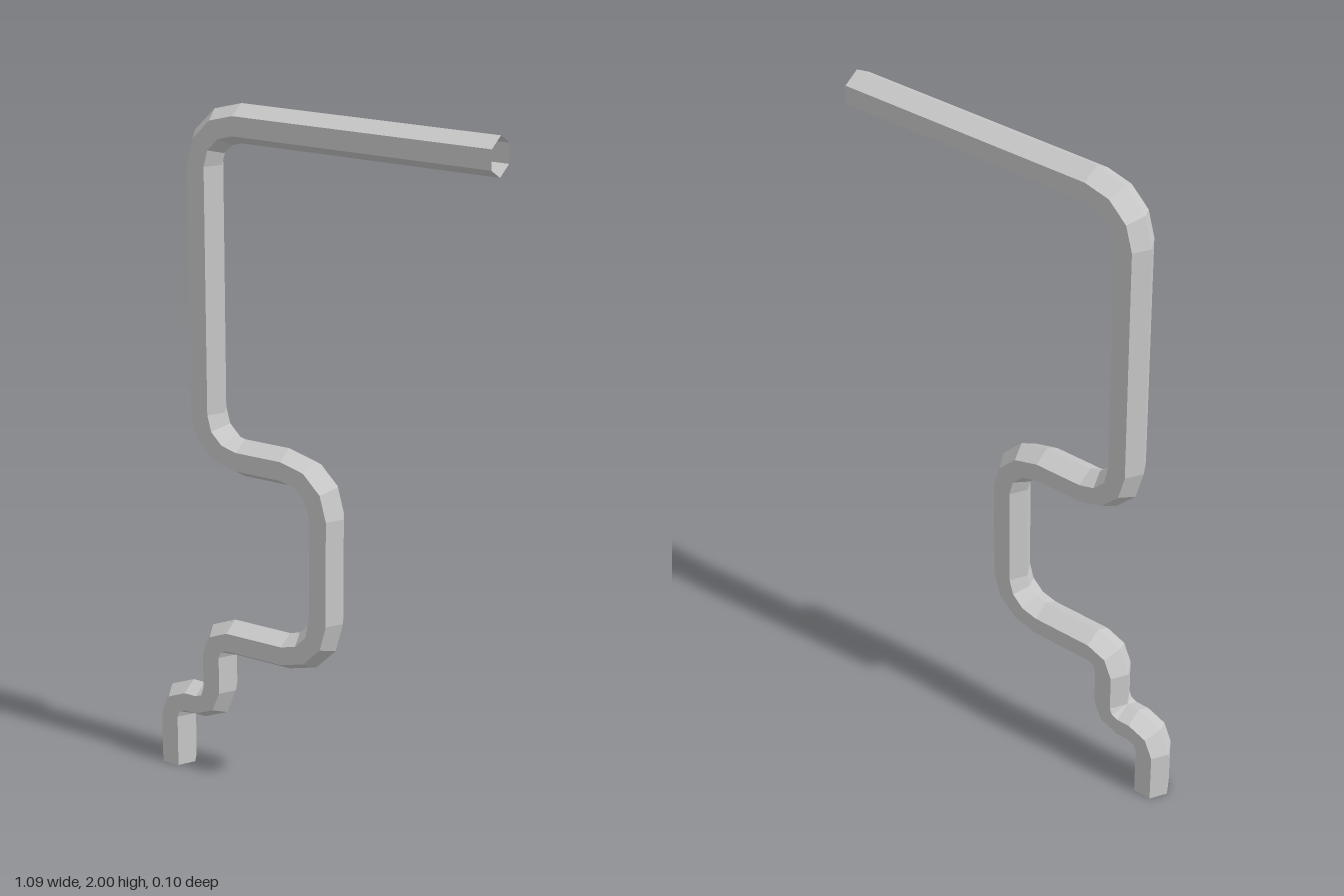
import * as THREE from 'three';

const SIDES = 6;
const RADIUS = 0.055;

// Bends of the pipe: x, y, bend radius, segments (the ends have no bend)
const route = [
  [-0.49, 0],
  [-0.49, 0.212, 0.055, 2],
  [-0.34, 0.212, 0.055, 2],
  [-0.34, 0.435, 0.055, 2],
  [0.025, 0.435, 0.122, 3],
  [0.025, 0.992, 0.122, 3],
  [-0.367, 0.992, 0.122, 3],
  [-0.367, 1.945, 0.122, 3],
  [0.545, 1.945],
];

// Centre line stations, each with position and tangent
function pipeStations() {
  const pts = route.map(([x, y]) => new THREE.Vector2(x, y));
  const dir = (i) => pts[i + 1].clone().sub(pts[i]).normalize();
  const last = pts.length - 1;
  const stations = [{ p: pts[0], t: dir(0) }];
  for (let i = 1; i < last; i++) {
    const [, , r, segments] = route[i];
    const d0 = dir(i - 1), d1 = dir(i);
    const centre = pts[i].clone().addScaledVector(d0, -r).addScaledVector(d1, r);
    for (let k = 0; k <= segments; k++) {
      const a = (k / segments) * Math.PI / 2;
      const c = Math.cos(a), s = Math.sin(a);
      stations.push({
        p: centre.clone().addScaledVector(d1, -r * c).addScaledVector(d0, r * s),
        t: d0.clone().multiplyScalar(c).addScaledVector(d1, s),
      });
    }
  }
  stations.push({ p: pts[last], t: dir(last - 1) });
  return stations;
}

// Hexagonal rings swept along the stations, open at both ends
function pipeGeometry() {
  const stations = pipeStations();
  const positions = [], index = [];
  stations.forEach(({ p, t }, i) => {
    for (let j = 0; j < SIDES; j++) {
      const a = (j / SIDES) * Math.PI * 2;
      const n = RADIUS * Math.cos(a);
      positions.push(p.x - t.y * n, p.y + t.x * n, RADIUS * Math.sin(a));
      if (i === stations.length - 1) continue;
      const k = (j + 1) % SIDES;
      const A = i * SIDES + j, B = i * SIDES + k;
      index.push(A, B, B + SIDES, A, B + SIDES, A + SIDES);
    }
  });
  const geometry = new THREE.BufferGeometry();
  geometry.setAttribute('position', new THREE.Float32BufferAttribute(positions, 3));
  geometry.setIndex(index);
  geometry.computeVertexNormals();
  return geometry;
}

export function createModel() {
  const group = new THREE.Group();
  group.name = 'bentPipe';
  const material = new THREE.MeshStandardMaterial({
    color: 0xcccccc, flatShading: true, side: THREE.DoubleSide,
  });
  const pipe = new THREE.Mesh(pipeGeometry(), material);
  pipe.name = 'pipe';
  group.add(pipe);
  return group;
}
